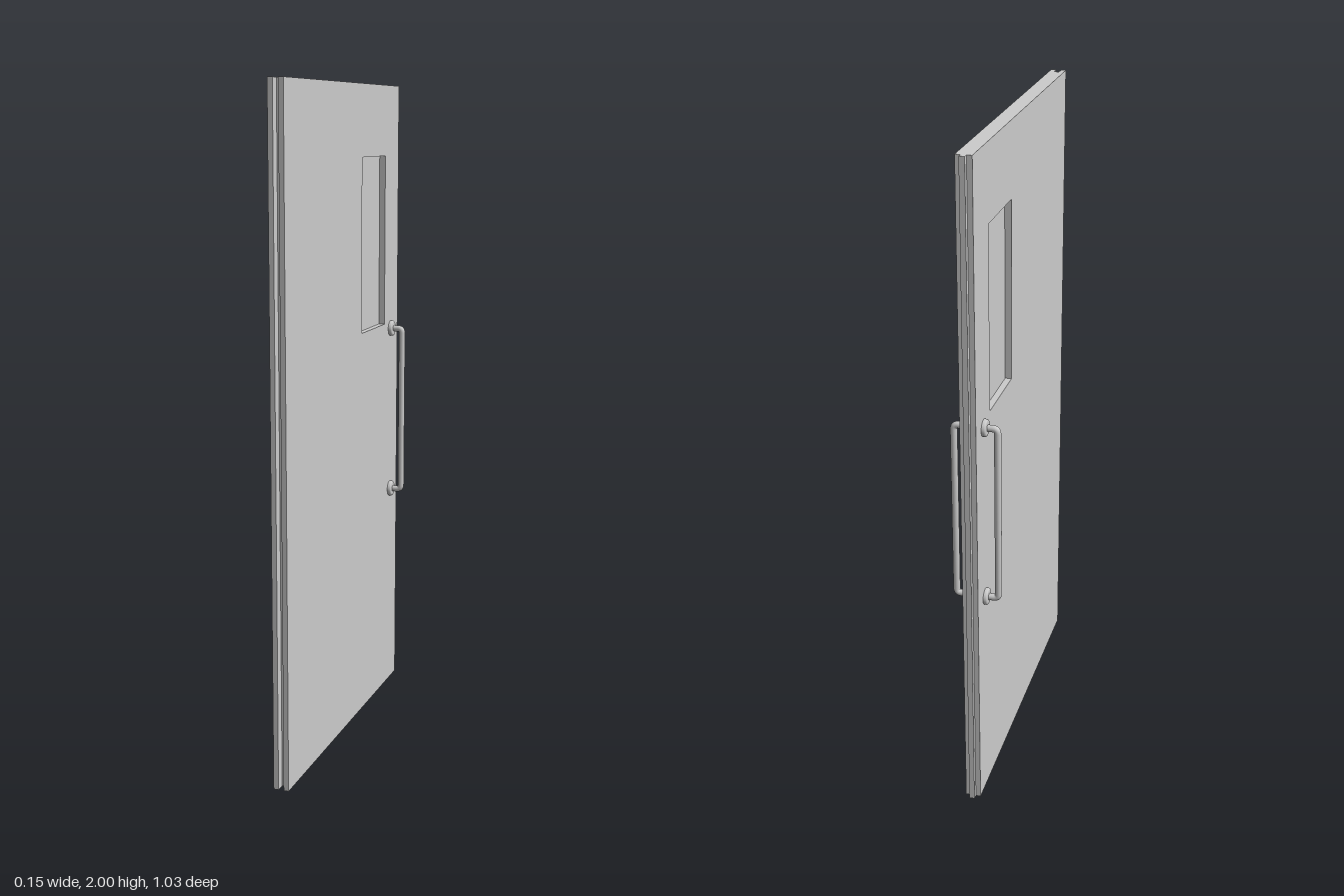
import * as THREE from 'three';

const GREY = new THREE.MeshStandardMaterial({ color: 0xcccccc });
const WINDOW = { z0: -0.36, z1: -0.13, y0: 1.24, y1: 1.78 };
const HANDLE_Z = -0.425, HANDLE_TOP = 1.219, HANDLE_BOTTOM = 0.676;
const FACE_X = 0.023, CORE_X = 0.008, PANE_X = 0.004;

function addMesh(parent, name, geometry) {
  const mesh = new THREE.Mesh(geometry, GREY);
  mesh.name = name;
  parent.add(mesh);
  return mesh;
}

function rectangle(path, z0, z1, y0, y1) {
  path.moveTo(z0, y0);
  path.lineTo(z1, y0);
  path.lineTo(z1, y1);
  path.lineTo(z0, y1);
  path.closePath();
  return path;
}

// One full-height door layer with the window opening, spanning z0..z1 and x0..x1
function doorLayer(z0, z1, x0, x1) {
  const shape = rectangle(new THREE.Shape(), z0, z1, 0, 2);
  shape.holes.push(rectangle(new THREE.Path(), WINDOW.z0, WINDOW.z1, WINDOW.y0, WINDOW.y1));
  const geometry = new THREE.ExtrudeGeometry(shape, { depth: x1 - x0, bevelEnabled: false });
  geometry.rotateY(-Math.PI / 2);
  return geometry.translate(x1, 0, 0);
}

// Pull handle on the +x face: bent bar and two rounded mounting plates
function createHandle() {
  const handle = new THREE.Group();
  const reach = 0.063, bend = 0.014;
  const point = (x, y) => new THREE.Vector3(x, y, HANDLE_Z);
  const path = new THREE.CurvePath();
  const corner = point(reach, HANDLE_TOP), lowCorner = point(reach, HANDLE_BOTTOM);
  const a = point(reach - bend, HANDLE_TOP), b = point(reach, HANDLE_TOP - bend);
  const c = point(reach, HANDLE_BOTTOM + bend), d = point(reach - bend, HANDLE_BOTTOM);
  path.add(new THREE.LineCurve3(point(FACE_X, HANDLE_TOP), a));
  path.add(new THREE.QuadraticBezierCurve3(a, corner, b));
  path.add(new THREE.LineCurve3(b, c));
  path.add(new THREE.QuadraticBezierCurve3(c, lowCorner, d));
  path.add(new THREE.LineCurve3(d, point(FACE_X, HANDLE_BOTTOM)));
  addMesh(handle, 'handleBar', new THREE.TubeGeometry(path, 240, 0.01, 20));

  const profile = [[0.025, 0], [0.025, 0.007], [0.0235, 0.0105], [0.02, 0.012], [0, 0.012]]
    .map(([r, h]) => new THREE.Vector2(r, h));
  for (const y of [HANDLE_TOP, HANDLE_BOTTOM]) {
    const plate = addMesh(handle, 'handlePlate', new THREE.LatheGeometry(profile, 32));
    plate.rotation.z = -Math.PI / 2;
    plate.position.set(FACE_X, y, HANDLE_Z);
  }
  return handle;
}

export function createModel() {
  const door = new THREE.Group();
  door.name = 'door';

  // The core is shifted against the skins, forming the tongue and the groove
  addMesh(door, 'core', doorLayer(-0.515, 0.487, -CORE_X, CORE_X));
  addMesh(door, 'leftSkin', doorLayer(-0.5, 0.515, CORE_X, FACE_X));
  addMesh(door, 'rightSkin', doorLayer(-0.5, 0.515, -FACE_X, -CORE_X));

  // Recessed window pane
  const pane = addMesh(door, 'windowPane',
    new THREE.BoxGeometry(PANE_X * 2, WINDOW.y1 - WINDOW.y0, WINDOW.z1 - WINDOW.z0));
  pane.position.set(0, (WINDOW.y0 + WINDOW.y1) / 2, (WINDOW.z0 + WINDOW.z1) / 2);

  // Matching handles on both faces, the second turned about the handle's axis
  const left = createHandle();
  left.name = 'leftHandle';
  const right = createHandle();
  right.name = 'rightHandle';
  right.rotation.y = Math.PI;
  right.position.z = 2 * HANDLE_Z;
  door.add(left, right);

  return door;
}
